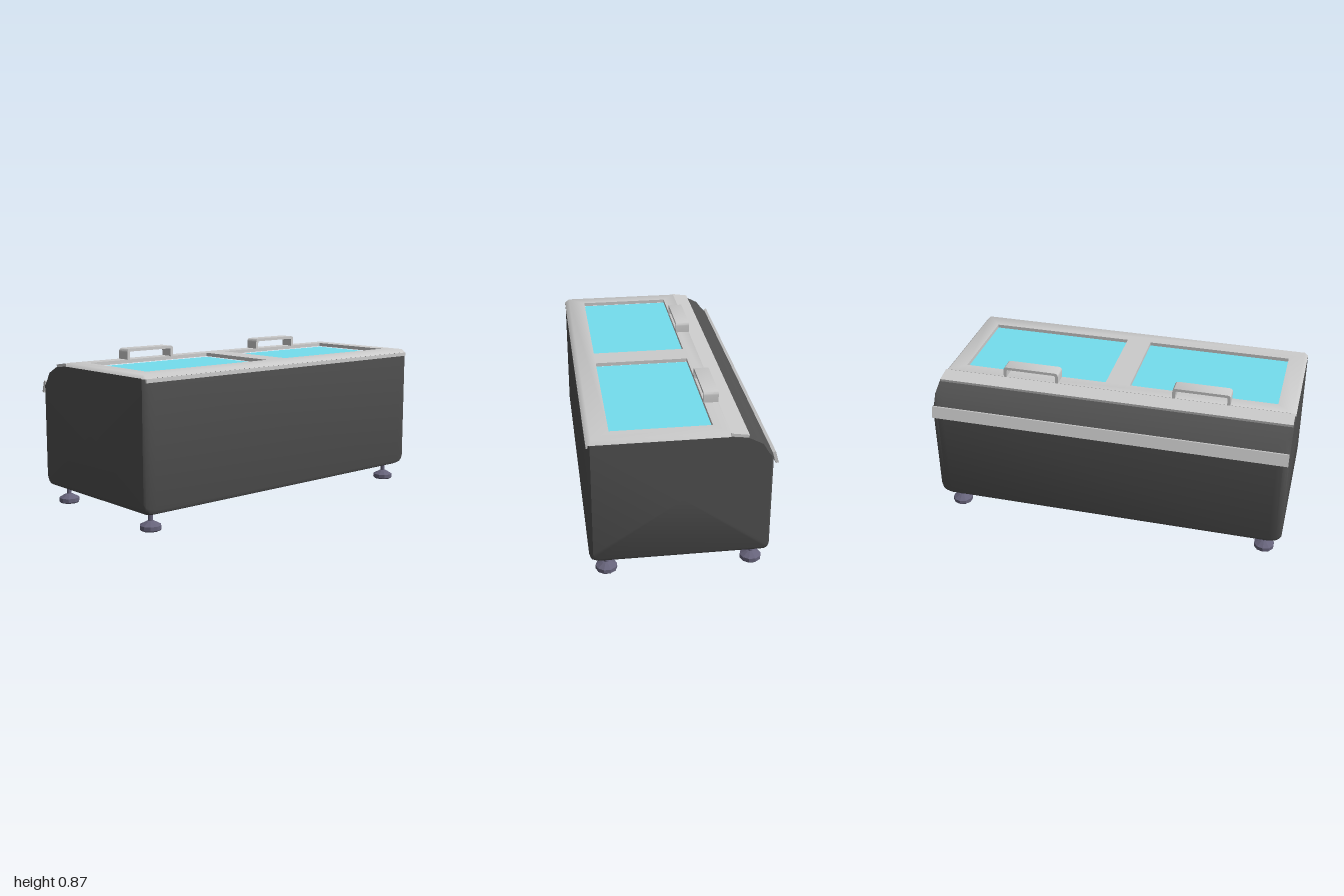
import * as THREE from 'three';
import { toCreasedNormals } from 'three/addons/utils/BufferGeometryUtils.js';

const material = (color, extra = {}) => new THREE.MeshStandardMaterial({ color, ...extra });

function add(parent, name, geometry, mat, x = 0, y = 0, z = 0) {
  const mesh = new THREE.Mesh(geometry, mat);
  mesh.name = name;
  mesh.position.set(x, y, z);
  parent.add(mesh);
  return mesh;
}

// Cabinet shell: side profile lofted along x, open on top under the lid
function cabinetGeometry() {
  // [z, y] from the front top edge, down, under and up the back
  const profile = [
    [0.478, 0.792], [0.48, 0.77], [0.48, 0.125], [0.472, 0.106], [0.445, 0.095],
    [-0.43, 0.095], [-0.456, 0.106], [-0.464, 0.125], [-0.464, 0.67], [-0.445, 0.692],
    [-0.398, 0.742], [-0.325, 0.78], [-0.235, 0.792],
  ];
  // [x, inset] sections, rounded off towards both ends
  const half = [[1, 0.035], [0.99, 0.018], [0.97, 0.006], [0.935, 0]];
  const sections = [...half.map(([x, k]) => [-x, k]), ...half.slice().reverse()];
  const rings = sections.map(([x, k]) => profile.map(([z, y]) =>
    [x, y < 0.4 ? y + k : y, z - Math.sign(z) * k * (Math.abs(z) > 0.44 ? 0.5 : 0)]));
  const pos = [];
  for (let s = 0; s < rings.length - 1; s++) {
    for (let i = 0; i < profile.length - 1; i++) {
      const a = rings[s][i], b = rings[s][i + 1], c = rings[s + 1][i + 1], d = rings[s + 1][i];
      pos.push(...a, ...b, ...c, ...a, ...c, ...d);
    }
  }
  // End panels
  for (const [ring, sign] of [[rings[0], -1], [rings[rings.length - 1], 1]]) {
    const centre = [sign, 0.45, 0];
    ring.forEach((p, i) => {
      const q = ring[(i + 1) % ring.length];
      pos.push(...centre, ...(sign > 0 ? [...p, ...q] : [...q, ...p]));
    });
  }
  const geometry = new THREE.BufferGeometry();
  geometry.setAttribute('position', new THREE.Float32BufferAttribute(pos, 3));
  return toCreasedNormals(geometry, 0.7);
}

const outline = (Type, points) => new Type(points.map(([x, y]) => new THREE.Vector2(x, y)));

// Lid plate with two openings, clipped front corners and a chamfered outer top edge
function lidGeometry() {
  const shape = outline(THREE.Shape, [
    [-1, 0.235], [-1, -0.462], [-0.985, -0.48], [0.985, -0.48], [1, -0.462], [1, 0.235],
  ]);
  for (const [x0, x1] of [[-0.895, -0.07], [0.07, 0.895]]) {
    shape.holes.push(outline(THREE.Path, [[x0, -0.36], [x1, -0.36], [x1, 0.16], [x0, 0.16]]));
  }
  const geometry = new THREE.ExtrudeGeometry(shape, { depth: 0.02, bevelEnabled: false });
  geometry.rotateX(-Math.PI / 2);
  const p = geometry.attributes.position;
  for (let i = 0; i < p.count; i++) {
    if (p.getY(i) > 0.01) {
      p.setX(i, THREE.MathUtils.clamp(p.getX(i), -0.98, 0.98));
      p.setZ(i, Math.min(p.getZ(i), 0.455));
    }
  }
  return toCreasedNormals(geometry, 1.0);
}

// Strap handle: rounded bridge outline with an opening
function handleGeometry() {
  const bridge = (Type, w, h, r) => {
    const s = new Type();
    s.moveTo(-w, 0);
    s.lineTo(-w, h - r);
    s.quadraticCurveTo(-w, h, -w + r, h);
    s.lineTo(w - r, h);
    s.quadraticCurveTo(w, h, w, h - r);
    s.lineTo(w, 0);
    return s;
  };
  const shape = bridge(THREE.Shape, 0.16, 0.062, 0.02);
  const inner = bridge(THREE.Path, 0.143, 0.046, 0.01).getPoints(4).reverse();
  inner.forEach((v) => shape.lineTo(v.x, v.y));
  const geometry = new THREE.ExtrudeGeometry(shape, { depth: 0.08, bevelEnabled: false, curveSegments: 4 });
  return toCreasedNormals(geometry, 0.6);
}

export function createModel() {
  const model = new THREE.Group();
  model.name = 'chestFreezer';
  const dark = material(0x505050);
  const grey = material(0xcccccc);
  const blue = material(0x74deee, { side: THREE.DoubleSide });
  const footMat = material(0x66637a, { flatShading: true });

  add(model, 'cabinet', cabinetGeometry(), dark);

  // Lid: plate, front lip and sloping rear strip
  const lid = new THREE.Group();
  lid.name = 'lid';
  model.add(lid);
  add(lid, 'lidPlate', lidGeometry(), grey, 0, 0.79, 0);
  add(lid, 'frontLip', new THREE.BoxGeometry(1.97, 0.02, 0.02), grey, 0, 0.78, 0.471);
  const rear = add(lid, 'rearStrip', new THREE.BoxGeometry(1.99, 0.018, 0.094), grey, 0, 0.793, -0.279);
  rear.rotation.x = -0.15;

  // Rear bumper rail
  const rail = add(model, 'rearRail', new THREE.BoxGeometry(1.995, 0.066, 0.016), grey, 0, 0.66, -0.464);
  rail.rotation.x = 0.28;

  // Window panes set just below the lid openings, and a handle behind each
  const pane = new THREE.PlaneGeometry(0.845, 0.54).rotateX(-Math.PI / 2);
  const handle = handleGeometry();
  for (const side of [-1, 1]) {
    const prefix = side > 0 ? 'left' : 'right';
    add(model, prefix + 'Pane', pane, blue, side * 0.4825, 0.785, 0.1);
    add(model, prefix + 'Handle', handle, grey, side * 0.485, 0.808, -0.236);
  }

  // Levelling feet
  const foot = new THREE.LatheGeometry([
    [0, 0], [0.05, 0], [0.057, 0.007], [0.057, 0.028], [0.022, 0.047], [0.013, 0.05], [0.013, 0.105],
  ].map(([r, y]) => new THREE.Vector2(r, y)), 10);
  for (const x of [-0.905, 0.905]) {
    for (const z of [0.39, -0.38]) add(model, 'foot', foot, footMat, x, 0, z);
  }
  return model;
}
